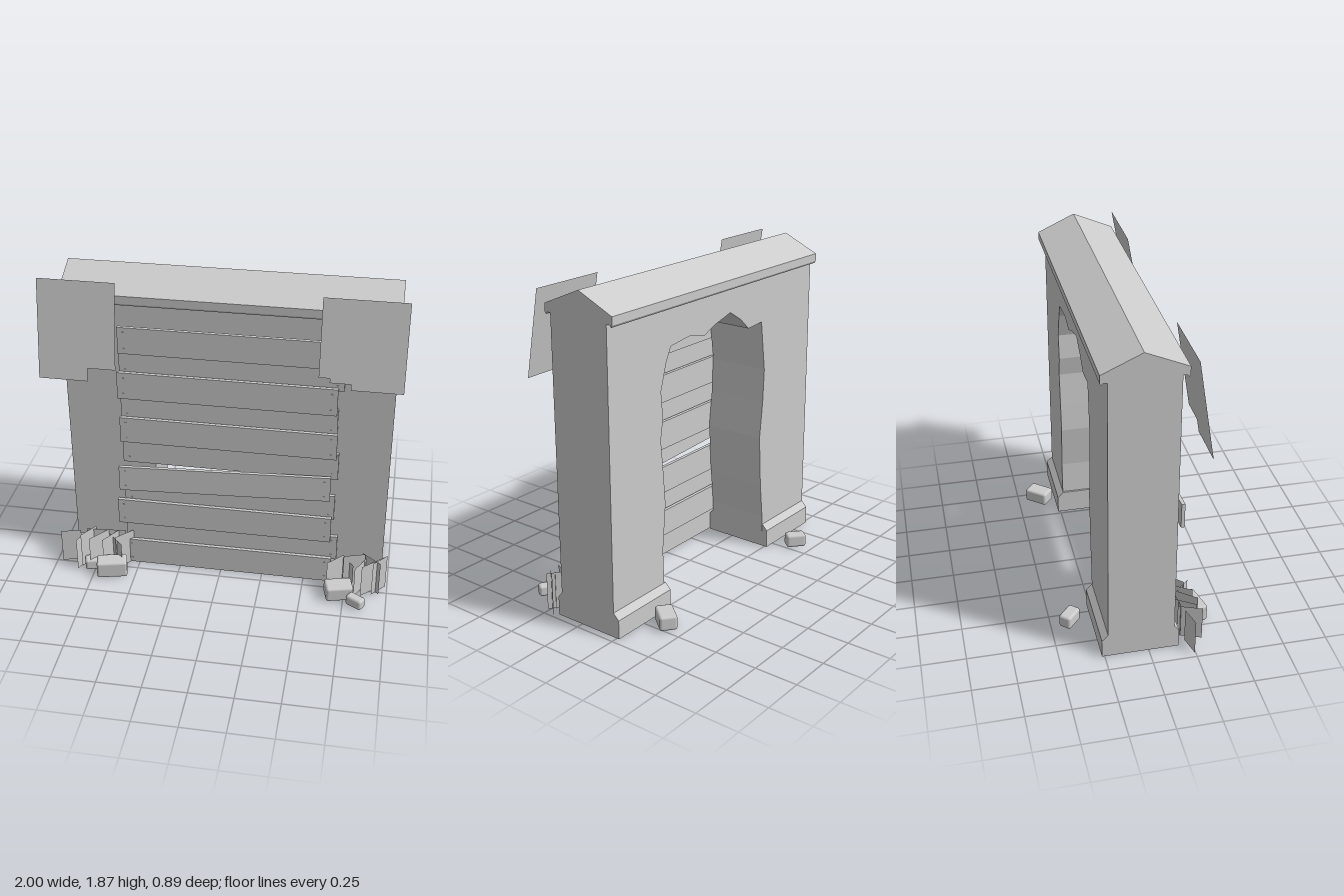
import * as THREE from 'three';
import { RoundedBoxGeometry } from 'three/addons/geometries/RoundedBoxGeometry.js';

const stone = new THREE.MeshStandardMaterial({ color: 0xcccccc, side: THREE.DoubleSide });
stone.name = 'plainGrey';

const X0 = -0.89, X1 = 0.96;
const shapeOf = pts => new THREE.Shape(pts.map(([x, y]) => new THREE.Vector2(x, y)));

function add(parent, name, geometry, x = 0, y = 0, z = 0, yaw = 0) {
  const mesh = new THREE.Mesh(geometry, stone);
  mesh.name = name;
  mesh.position.set(x, y, z);
  mesh.rotation.y = yaw;
  parent.add(mesh);
  return mesh;
}

// Extrude a [z, y] profile along x
function alongX(profile, from, to) {
  const g = new THREE.ExtrudeGeometry(shapeOf(profile.map(([z, y]) => [-z, y])), { depth: to - from, bevelEnabled: false });
  return g.rotateY(Math.PI / 2).translate(from, 0, 0);
}

function buildWall(root) {
  // Wall with a ragged hole broken through it
  const hole = [
    [-0.43, 0.1], [-0.43, 0.2], [-0.405, 0.42], [-0.385, 0.73], [-0.41, 0.95], [-0.42, 1.15], [-0.38, 1.45],
    [-0.25, 1.44], [-0.17, 1.51], [-0.07, 1.57], [0.08, 1.53], [0.17, 1.49], [0.29, 1.52], [0.46, 1.5],
    [0.5, 1.42], [0.545, 1.27], [0.53, 1.12], [0.55, 1.0], [0.53, 0.8], [0.515, 0.62], [0.54, 0.35], [0.53, 0.1],
  ];
  const outline = [[X0, 0.1], ...hole, [X1, 0.1], [X1, 1.74], [X0, 1.74]];
  add(root, 'wall', new THREE.ExtrudeGeometry(shapeOf(outline), { depth: 0.375, bevelEnabled: false }), 0, 0, -0.23);

  // Gabled coping with small drip lips
  add(root, 'coping', alongX([
    [-0.05, 1.87], [0.183, 1.77], [0.183, 1.725], [0.175, 1.713], [0.167, 1.725], [0.145, 1.725],
    [-0.23, 1.725], [-0.252, 1.725], [-0.26, 1.713], [-0.268, 1.725], [-0.268, 1.77],
  ], X0, X1));

  // Flared plinth under each leg
  const plinth = [[0.172, 0], [0.172, 0.11], [0.145, 0.145], [-0.23, 0.145], [-0.265, 0.11], [-0.265, 0]];
  add(root, 'rightPlinth', alongX(plinth, X0, -0.435));
  add(root, 'leftPlinth', alongX(plinth, 0.52, X1));
}

function buildPlanks(root) {
  // [x from, x to, y from, y to, z of left end, z of right end]
  const planks = [
    [-0.57, 0.62, 1.43, 1.59, 0.185, 0.185], [-0.585, 0.65, 1.145, 1.31, 0.185, 0.185],
    [-0.58, 0.66, 0.86, 1.02, 0.185, 0.185], [-0.58, 0.635, 0.578, 0.735, 0.262, 0.186],
    [-0.615, 0.65, 0.29, 0.455, 0.185, 0.185], [-0.58, 0.66, 0.005, 0.17, 0.185, 0.185],
    [-0.575, 0.68, 1.285, 1.45, 0.156, 0.156], [-0.575, 0.655, 1.0, 1.165, 0.156, 0.156],
    [-0.575, 0.672, 0.71, 0.88, 0.156, 0.156], [-0.575, 0.662, 0.43, 0.595, 0.156, 0.156],
    [-0.575, 0.69, 0.15, 0.31, 0.156, 0.156],
  ];
  const head = new THREE.CylinderGeometry(0.006, 0.006, 0.004, 6).rotateX(Math.PI / 2);
  for (const [xa, xb, ya, yb, za, zb] of planks) {
    const plank = new THREE.Group();
    plank.name = 'plank';
    plank.position.set((xa + xb) / 2, (ya + yb) / 2, (za + zb) / 2);
    plank.rotation.y = Math.atan2(za - zb, xb - xa);
    const w = Math.hypot(xb - xa, zb - za);
    add(plank, 'board', new THREE.BoxGeometry(w, yb - ya, 0.021));
    for (const sx of [-1, 1]) for (const sy of [-1, 1])
      add(plank, 'nailHead', head, sx * (w / 2 - 0.035), sy * 0.05, 0.012);
    root.add(plank);
  }
}

// Torn sheets, leaning forward at the bottom edge
function buildSheets(root) {
  const outlines = {
    rightSheet: [[-1, 1.29], [-0.725, 1.29], [-0.725, 1.365], [-0.567, 1.365], [-0.567, 1.85], [-1, 1.85]],
    leftSheet: [[0.545, 1.42], [0.605, 1.42], [0.605, 1.395], [0.72, 1.395], [0.72, 1.362], [1, 1.362], [1, 1.85], [0.545, 1.85]],
  };
  for (const [name, pts] of Object.entries(outlines)) {
    const g = new THREE.ShapeGeometry(shapeOf(pts));
    const p = g.attributes.position;
    const low = Math.min(...pts.map(q => q[1]));
    for (let i = 0; i < p.count; i++) p.setZ(i, 0.195 + 0.09 * (1.85 - p.getY(i)) / (1.85 - low));
    g.computeVertexNormals();
    add(root, name, g);
  }
}

// Upright grass cards: [x, z, width, height, yaw]
function buildGrass(root) {
  const cards = [
    [-0.91, 0.23, 0.12, 0.215, 0.25], [-0.83, 0.25, 0.14, 0.21, 1.2], [-0.80, 0.23, 0.13, 0.23, 1.0],
    [-0.73, 0.25, 0.15, 0.225, 0.9], [-0.66, 0.24, 0.14, 0.22, 1.0], [-0.58, 0.22, 0.13, 0.225, 0.8],
    [-0.7, 0.19, 0.24, 0.22, 0.08], [-0.63, 0.25, 0.14, 0.2, -0.8],
    [0.69, 0.23, 0.13, 0.2, 0.8], [0.8, 0.23, 0.13, 0.24, 0.3], [0.84, 0.25, 0.14, 0.2, 1.1],
    [0.91, 0.24, 0.17, 0.21, 0.75], [0.95, 0.23, 0.12, 0.225, 0.85], [0.76, 0.22, 0.12, 0.19, -0.9],
    [0.9, 0.22, 0.14, 0.22, -0.7],
  ];
  for (const [x, z, w, h, yaw] of cards) add(root, 'grassCard', new THREE.PlaneGeometry(w, h), x, h / 2, z, yaw);
}

// Loose stones: [x, z, width, height, depth, yaw]
function buildStones(root) {
  const stones = [
    [-0.64, 0.32, 0.18, 0.105, 0.1, 0.23], [-0.775, 0.28, 0.08, 0.07, 0.07, 0.3],
    [0.72, 0.315, 0.16, 0.09, 0.11, 0.25], [0.825, 0.39, 0.105, 0.065, 0.06, -0.55],
    [-0.57, -0.388, 0.12, 0.08, 0.075, -0.72], [0.685, -0.365, 0.15, 0.085, 0.1, 0.88],
  ];
  for (const [x, z, w, h, d, yaw] of stones)
    add(root, 'looseStone', new RoundedBoxGeometry(w, h, d, 2, 0.015), x, h / 2, z, yaw);
}

export function createModel() {
  const root = new THREE.Group();
  root.name = 'boardedUpWall';
  buildWall(root);
  buildPlanks(root);
  buildSheets(root);
  buildGrass(root);
  buildStones(root);
  return root;
}
